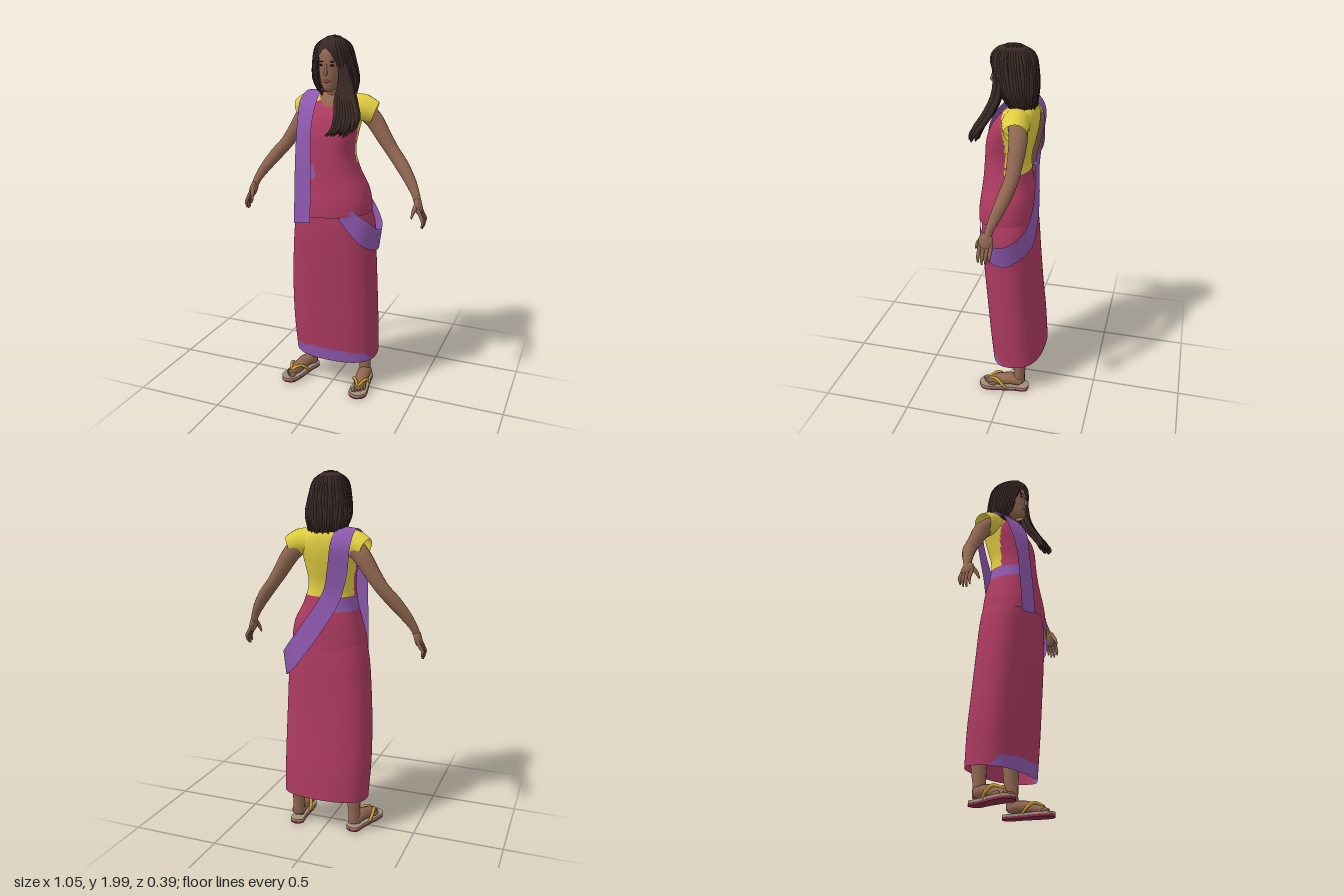
import * as THREE from 'three';

const colours = {
  skin: 0x8f6650, hair: 0x3a2a27, rose: 0xac3a60, purple: 0x8d58ad, yellow: 0xe0cc40,
  sandalTan: 0xa19079, soleMaroon: 0x8a2c48, strapGold: 0xcfa030, lips: 0x8c4a48, eyeDark: 0x2a1c1a,
};

// Cross-sections: [y, xMin, xMax, zFront, zBack]
const SKIRT = [
  [0.19, -0.235, 0.25, 0.095, -0.2], [0.4, -0.245, 0.252, 0.115, -0.185], [0.6, -0.242, 0.25, 0.13, -0.165],
  [0.8, -0.23, 0.245, 0.145, -0.15], [1.0, -0.21, 0.238, 0.155, -0.138], [1.1, -0.185, 0.21, 0.15, -0.125],
  [1.22, -0.14, 0.17, 0.13, -0.1]];
const TORSO = [
  [1.06, -0.198, 0.223, 0.172, -0.134], [1.12, -0.19, 0.22, 0.17, -0.131], [1.2, -0.167, 0.202, 0.16, -0.125],
  [1.3, -0.138, 0.155, 0.15, -0.105], [1.4, -0.125, 0.127, 0.145, -0.098], [1.5, -0.138, 0.138, 0.135, -0.12],
  [1.58, -0.152, 0.152, 0.105, -0.135], [1.64, -0.148, 0.148, 0.058, -0.135], [1.68, -0.11, 0.11, 0.02, -0.122],
  [1.7, -0.06, 0.06, 0, -0.1]];
const HEAD = [
  [1.712, -0.015, 0.015, 0.085, 0.04], [1.73, -0.033, 0.033, 0.098, 0], [1.77, -0.054, 0.054, 0.1, -0.05],
  [1.82, -0.065, 0.065, 0.102, -0.085], [1.87, -0.069, 0.069, 0.1, -0.1], [1.92, -0.065, 0.065, 0.09, -0.095],
  [1.96, -0.042, 0.042, 0.055, -0.065], [1.975, -0.008, 0.008, 0.005, -0.015]];
const HAIR = [
  [1.66, -0.085, 0.095, 0.0, -0.12], [1.75, -0.11, 0.118, 0.06, -0.125], [1.85, -0.1, 0.105, 0.1, -0.122],
  [1.92, -0.083, 0.088, 0.115, -0.112], [1.97, -0.055, 0.058, 0.08, -0.08], [1.992, -0.008, 0.012, 0.012, -0.02]];

// Section values at height y, eased smoothly between rows
function sectionAt(rows, y) {
  let i = 0;
  while (i < rows.length - 2 && y > rows[i + 1][0]) i++;
  const a = rows[i], b = rows[i + 1], p = rows[Math.max(0, i - 1)], q = rows[Math.min(rows.length - 1, i + 2)];
  const h = b[0] - a[0], t = THREE.MathUtils.clamp((y - a[0]) / h, 0, 1), t2 = t * t, t3 = t2 * t;
  return a.map((v, k) => {
    const m0 = (b[k] - p[k]) / (b[0] - p[0]) * h, m1 = (q[k] - v) / (q[0] - a[0]) * h;
    return (2 * t3 - 3 * t2 + 1) * v + (t3 - 2 * t2 + t) * m0 + (3 * t2 - 2 * t3) * b[k] + (t3 - t2) * m1;
  });
}

function surfacePoint(rows, angle, y, off = 0, power = 2.4) {
  const [, x0, x1, zf, zb] = sectionAt(rows, y);
  const bend = v => Math.sign(v) * Math.abs(v) ** (2 / power);
  return new THREE.Vector3(
    (x0 + x1) / 2 + ((x1 - x0) / 2 + off) * bend(Math.cos(angle)), y,
    (zf + zb) / 2 + ((zf - zb) / 2 + off) * bend(Math.sin(angle)));
}

// Closed skin over sections; pick(point) gives a material index, or -1 for an opening
function loft(rows, nu, nv, power, pick = () => 0, warp = () => {}) {
  const pos = [], buckets = [], y0 = rows[0][0], y1 = rows[rows.length - 1][0];
  for (let j = 0; j <= nv; j++) for (let i = 0; i < nu; i++) {
    const p = surfacePoint(rows, i / nu * Math.PI * 2, y0 + (y1 - y0) * j / nv, 0, power);
    warp(p);
    pos.push(p.x, p.y, p.z);
  }
  const at = k => new THREE.Vector3().fromArray(pos, k * 3);
  for (let j = 0; j < nv; j++) for (let i = 0; i < nu; i++) {
    const a = j * nu + i, b = j * nu + (i + 1) % nu, c = a + nu, d = b + nu;
    const m = pick(at(a).add(at(d)).multiplyScalar(0.5));
    if (m >= 0) (buckets[m] ??= []).push(a, c, d, a, d, b);
  }
  const geo = new THREE.BufferGeometry(), index = [];
  geo.setAttribute('position', new THREE.Float32BufferAttribute(pos, 3));
  buckets.forEach((list, m) => {
    geo.addGroup(index.length, list.length, m);
    for (const v of list) index.push(v);
  });
  geo.setIndex(index);
  geo.computeVertexNormals();
  return geo;
}

// Tube whose radius follows the fourth value of each point
function taperedTube(pts, sides = 10) {
  const curve = new THREE.CatmullRomCurve3(pts.map(p => new THREE.Vector3(p[0], p[1], p[2])));
  const n = (pts.length - 1) * 5, geo = new THREE.TubeGeometry(curve, n, 1, sides), pos = geo.attributes.position;
  const v = new THREE.Vector3();
  for (let i = 0; i <= n; i++) {
    const c = curve.getPointAt(i / n), t = curve.getUtoTmapping(i / n) * (pts.length - 1);
    const k = Math.min(pts.length - 2, Math.floor(t)), r = THREE.MathUtils.lerp(pts[k][3], pts[k + 1][3], t - k);
    for (let s = 0; s <= sides; s++) {
      const id = i * (sides + 1) + s;
      v.fromBufferAttribute(pos, id).sub(c).multiplyScalar(r).add(c);
      pos.setXYZ(id, v.x, v.y, v.z);
    }
  }
  return geo;
}

// Cloth band between two smooth edges
function ribbon(rows, nl, nw) {
  const edge = o => new THREE.CatmullRomCurve3(rows.map(r => new THREE.Vector3(r[o], r[o + 1], r[o + 2])));
  const A = edge(0), B = edge(3), geo = new THREE.PlaneGeometry(1, 1, nw, nl), pos = geo.attributes.position;
  for (let j = 0; j <= nl; j++) for (let i = 0; i <= nw; i++) {
    const p = A.getPoint(j / nl).lerp(B.getPoint(j / nl), i / nw);
    pos.setXYZ(j * (nw + 1) + i, p.x, p.y, p.z);
  }
  geo.computeVertexNormals();
  return geo;
}

export function createModel() {
  const model = new THREE.Group(), mat = {};
  for (const [name, color] of Object.entries(colours)) {
    mat[name] = new THREE.MeshStandardMaterial({ color, side: THREE.DoubleSide });
    mat[name].name = name;
  }
  const add = (name, geo, material, parent = model) => {
    const mesh = new THREE.Mesh(geo, material);
    mesh.name = name;
    parent.add(mesh);
    return mesh;
  };
  const ball = (name, material, p, s, parent = model) => {
    const mesh = add(name, new THREE.SphereGeometry(1, 16, 12), material, parent);
    mesh.position.set(...p);
    mesh.scale.set(...s);
    return mesh;
  };
  let seed = 7;
  const rand = () => (seed = (seed * 16807) % 2147483647) / 2147483647;

  // Long skirt with a bordered front hem, lower at the front
  add('skirt', loft(SKIRT, 96, 100, 2.5,
    p => p.y < 0.25 - Math.max(0, 0.06 - p.z) ? 1 : 0,
    p => { p.y -= 0.1 * p.z * THREE.MathUtils.clamp((0.5 - p.y) / 0.31, 0, 1); }), [mat.rose, mat.purple]);

  // Draped front, blouse back, scooped neckline and waist border
  add('bodice', loft(TORSO, 120, 100, 2.4, p => {
    if (p.z > -0.05 && p.y > 1.63 + (p.x / 0.07) ** 2 * 0.045) return 3;
    if (p.x < -0.05 && p.y > 1.265 && p.y < 1.335) return 2;
    const frontEdge = 0.01 + Math.max(0, p.y - 1.5) * 0.15;
    return p.y > 1.34 && p.z < frontEdge ? 1 : 0;
  }, p => { p.y += 0.09 * p.x * THREE.MathUtils.clamp((1.25 - p.y) / 0.19, 0, 1); }),
  [mat.rose, mat.yellow, mat.purple, mat.skin]);

  // Sash: hangs in front, crosses the shoulder and back, wraps the left hip
  add('sash', ribbon([
    [-0.06, 1.03, 0.187, -0.165, 1.01, 0.162], [-0.06, 1.2, 0.176, -0.165, 1.2, 0.15],
    [-0.065, 1.4, 0.16, -0.165, 1.4, 0.13], [-0.065, 1.55, 0.142, -0.17, 1.55, 0.09],
    [-0.065, 1.65, 0.082, -0.175, 1.655, 0.04], [-0.065, 1.708, 0, -0.165, 1.7, -0.03],
    [-0.06, 1.702, -0.09, -0.165, 1.69, -0.1], [-0.05, 1.63, -0.15, -0.155, 1.62, -0.142],
    [-0.03, 1.5, -0.142, -0.135, 1.47, -0.132], [0, 1.38, -0.122, -0.09, 1.32, -0.125],
    [0.07, 1.26, -0.135, -0.01, 1.18, -0.145], [0.14, 1.16, -0.138, 0.08, 1.05, -0.155],
    [0.22, 1.06, -0.11, 0.17, 0.94, -0.138], [0.276, 1.0, -0.03, 0.258, 0.87, -0.035],
    [0.28, 0.99, 0.04, 0.254, 0.87, 0.045], [0.235, 1.05, 0.11, 0.2, 0.92, 0.126],
    [0.16, 1.11, 0.145, 0.09, 1.06, 0.162]], 130, 6), mat.purple);

  for (const s of [1, -1]) {
    const side = s > 0 ? 'left' : 'right';
    const limb = (name, material, pts, sides) =>
      add(name, taperedTube(pts.map(([x, y, z, r]) => [x * s, y, z, r]), sides), material);

    // Sleeve, arm and hand
    limb(side + 'Sleeve', mat.yellow,
      [[0.08, 1.625, -0.045, 0.07], [0.15, 1.622, -0.05, 0.073], [0.212, 1.598, -0.062, 0.058]], 20);
    limb(side + 'Arm', mat.skin, [[0.14, 1.62, -0.06, 0.05], [0.2, 1.56, -0.075, 0.048],
      [0.26, 1.47, -0.075, 0.041], [0.31, 1.4, -0.07, 0.036], [0.37, 1.33, -0.05, 0.036],
      [0.43, 1.25, -0.02, 0.029], [0.465, 1.19, 0.002, 0.021], [0.48, 1.15, 0.012, 0.02]], 16);
    const palm = ball(side + 'Palm', mat.skin, [s * 0.484, 1.135, 0.016], [0.02, 0.048, 0.038]);
    palm.rotation.z = s * 0.25;
    for (let f = 0; f < 4; f++) {
      const z = 0.044 - f * 0.019, drop = [0.01, 0, 0.004, 0.02][f];
      limb(side + 'Finger', mat.skin, [[0.487, 1.125, z, 0.01], [0.508, 1.085, z + 0.002, 0.01],
        [0.518, 1.05 + drop, z + 0.004, 0.009], [0.512, 1.02 + drop, z + 0.006, 0.004]], 8);
    }
    limb(side + 'Thumb', mat.skin, [[0.478, 1.15, 0.035, 0.013], [0.47, 1.115, 0.06, 0.011],
      [0.463, 1.08, 0.075, 0.004]], 8);

    // Lower leg, foot and thong sandal
    limb(side + 'Leg', mat.skin, [[0.165, 0.4, -0.08, 0.055], [0.168, 0.2, -0.085, 0.04],
      [0.17, 0.12, -0.08, 0.033], [0.172, 0.05, -0.08, 0.033]], 14);
    const foot = new THREE.Group();
    foot.name = side + 'Foot';
    foot.position.set(s > 0 ? 0.182 : -0.205, s > 0 ? 0 : 0.012, 0.008);
    foot.rotation.y = s > 0 ? 0.09 : -0.31;
    model.add(foot);
    const outline = new THREE.Shape(new THREE.SplineCurve([[0, -0.145], [0.036, -0.125], [0.038, -0.05],
      [0.05, 0.06], [0.045, 0.12], [0, 0.148], [-0.045, 0.12], [-0.05, 0.06], [-0.038, -0.05], [-0.036, -0.125],
      [0, -0.145]].map(p => new THREE.Vector2(...p))).getPoints(50));
    const slab = (name, material, y, depth) => {
      const geo = new THREE.ExtrudeGeometry(outline, { depth, bevelEnabled: false });
      add(name, geo.rotateX(Math.PI / 2).translate(0, y + depth, 0), material, foot);
    };
    slab('sandalSole', mat.soleMaroon, 0, 0.012);
    slab('sandalBed', mat.sandalTan, 0.0121, 0.013);
    add('instep', taperedTube([[0, 0.05, -0.115, 0.012], [0, 0.058, -0.09, 0.034], [0, 0.062, -0.03, 0.034],
      [0, 0.047, 0.04, 0.032], [0, 0.036, 0.09, 0.02], [0, 0.033, 0.105, 0.006]], 14), mat.skin, foot)
      .scale.x = 1.15;
    for (let t = 0; t < 5; t++) {
      ball('toe', mat.skin, [s * (-0.026 + t * 0.0145), 0.034, 0.102 - t * t * 0.0022],
        [t ? 0.0075 : 0.011, 0.011, 0.024], foot);
    }
    for (const k of [1, -1]) {
      add('sandalStrap', taperedTube([[0, 0.03, 0.098, 0.006], [k * 0.006, 0.056, 0.085, 0.007],
        [k * 0.032, 0.074, 0.045, 0.009], [k * 0.045, 0.05, 0.01, 0.009], [k * 0.044, 0.022, -0.015, 0.007]], 8),
      mat.strapGold, foot);
    }
    // Eye and brow
    ball(side + 'Eye', mat.eyeDark, [s * 0.027, 1.848, 0.094], [0.013, 0.005, 0.005]);
    ball(side + 'Brow', mat.eyeDark, [s * 0.029, 1.866, 0.094], [0.016, 0.003, 0.005]);
  }

  // Head and neck
  add('neck', taperedTube([[0, 1.62, -0.05, 0.06], [0, 1.68, -0.035, 0.044], [0, 1.78, -0.005, 0.042]], 18), mat.skin);
  add('head', loft(HEAD, 40, 36, 2.1), mat.skin);
  add('nose', taperedTube([[0, 1.856, 0.097, 0.005], [0, 1.825, 0.106, 0.008], [0, 1.806, 0.108, 0.012],
    [0, 1.796, 0.102, 0.003]], 10), mat.skin);
  ball('mouth', mat.lips, [0, 1.768, 0.098], [0.02, 0.008, 0.006]);

  // Hair shell, open around the face
  add('hairShell', loft(HAIR, 80, 60, 2.1, p =>
    p.z > 0 && p.y < 1.93 && Math.abs(p.x) < Math.min(0.06, 0.056 * Math.sqrt((1.93 - p.y) / 0.09)) ? -1 : 0),
  mat.hair);
  // Strands running from the crown
  for (let i = 0; i < 40; i++) {
    const a = THREE.MathUtils.degToRad(132 + i * 276 / 39), end = 1.655 + rand() * 0.05;
    const pts = [1.985, 1.94, 1.86, 1.77, end].map((y, k) => {
      const p = surfacePoint(HAIR, a + (rand() - 0.5) * 0.08, y, k ? 0.002 : 0, 2.1);
      return [p.x, p.y, p.z, [0.004, 0.009, 0.011, 0.011, 0.003][k]];
    });
    add('hairStrand', taperedTube(pts, 7), mat.hair);
  }
  // Thick lock falling forward over the left shoulder
  for (let i = 0; i < 16; i++) {
    const d = (i % 8) / 7 - 0.5, b = i < 8 ? 0 : -0.022, j = rand() - 0.5;
    add('frontLock', taperedTube([
      [0.078 + d * 0.03, 1.86, 0.07 + b, 0.008], [0.092 + d * 0.05, 1.76, 0.07 + b, 0.015],
      [0.105 + d * 0.09, 1.67, 0.105 + b, 0.017], [0.128 + d * 0.11, 1.6, 0.15 + b, 0.015],
      [0.122 + d * 0.1 + j * 0.03, 1.55 + j * 0.03, 0.178 + b, 0.009],
      [0.095 + d * 0.1 + j * 0.05, 1.515 + j * 0.03, 0.192 + b, 0.002]], 7), mat.hair);
  }
  return model;
}
